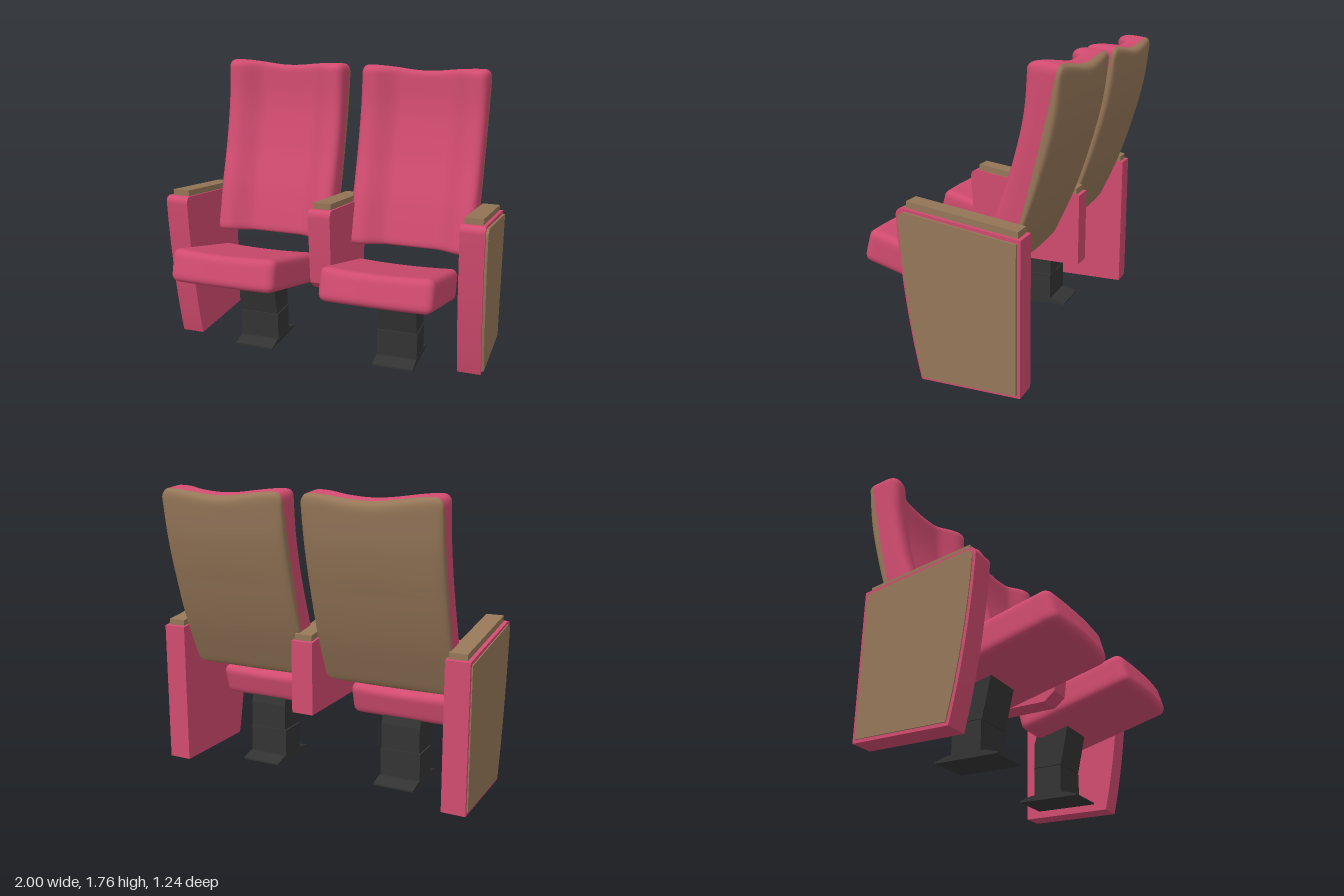
import * as THREE from 'three';
import { mergeVertices } from 'three/addons/utils/BufferGeometryUtils.js';

const paint = (name, color) => {
  const m = new THREE.MeshStandardMaterial({ color });
  m.name = name;
  return m;
};

export function createModel() {
  const fabric = paint('pink fabric', 0xd04b6f);
  const wood = paint('brown wood', 0x957658);
  const metal = paint('dark metal', 0x333333);
  const model = new THREE.Group();

  const add = (parent, name, geometry, material) => {
    const mesh = new THREE.Mesh(geometry, material);
    mesh.name = name;
    parent.add(mesh);
    return mesh;
  };

  // Finely divided box with rounded edges; every vertex then passes through bend()
  const softSlab = (w, h, d, r, segs, bend, splitAtMiddle = false) => {
    let g = new THREE.BoxGeometry(w, h, d, ...segs);
    g.deleteAttribute('normal');
    g.deleteAttribute('uv');
    g.clearGroups();
    g = mergeVertices(g);
    const pos = g.attributes.position;
    const half = new THREE.Vector3(w / 2 - r, h / 2 - r, d / 2 - r);
    const p = new THREE.Vector3(), core = new THREE.Vector3(), depth = [];
    for (let i = 0; i < pos.count; i++) {
      p.fromBufferAttribute(pos, i);
      core.copy(p).clamp(half.clone().negate(), half);
      p.sub(core).setLength(r).add(core);
      depth.push(p.z);
      bend(p);
      pos.setXYZ(i, p.x, p.y, p.z);
    }
    // rear faces go in material group 0, front faces in group 1
    if (splitAtMiddle) {
      const rear = [], front = [], ix = g.index.array;
      for (let i = 0; i < ix.length; i += 3) {
        const tri = [ix[i], ix[i + 1], ix[i + 2]];
        const z = tri.reduce((s, k) => s + depth[k], 0);
        (z < -1e-4 ? rear : front).push(...tri);
      }
      g.setIndex([...rear, ...front]);
      g.addGroup(0, rear.length, 0);
      g.addGroup(rear.length, front.length, 1);
    }
    g.computeVertexNormals();
    return g;
  };

  // Side profile in (z, y), extruded between two x positions
  const sideExtrude = (shape, x0, x1) =>
    new THREE.ExtrudeGeometry(shape, { depth: x1 - x0, bevelEnabled: false, curveSegments: 16 })
      .rotateY(-Math.PI / 2).translate(x1, 0, 0);
  const polygon = (pts) => new THREE.Shape(pts.map(([z, y]) => new THREE.Vector2(z, y)));

  // Backrest depth at equal height steps: cushion front, colour border, shell back
  const rows = [
    [-0.15, -0.29, -0.32], [-0.228, -0.385, -0.443], [-0.325, -0.46, -0.535],
    [-0.393, -0.525, -0.6], [-0.415, -0.585, -0.632],
  ];
  const section = new THREE.CatmullRomCurve3(rows.map((r) => new THREE.Vector3(...r)), false, 'catmullrom');
  const bendBack = (p) => {
    const v = p.y / 1.115 + 0.5, a = Math.abs(p.x);
    const s = section.getPoint(THREE.MathUtils.clamp(v, 0, 1));
    const t = p.z / 0.1;
    const hollow = 0.08 * (1 - THREE.MathUtils.smoothstep(a, 0.15, 0.33));
    const front = s.x - hollow;
    const rear = s.z + 0.025 * (p.x / 0.4) ** 2;
    p.z = t > 0 ? THREE.MathUtils.lerp(s.y, front, t) : THREE.MathUtils.lerp(s.y, rear, -t);
    const dip = 0.015 * (1 + Math.cos(Math.PI * Math.min(1, a / 0.36)));
    p.y = 0.65 + v * 1.115 - Math.max(0, v - 0.5) * 2 * (dip + 0.022 * (1 - t));
  };
  const backGeometry = softSlab(0.8, 1.115, 0.2, 0.045, [44, 56, 12], bendBack, true);

  // Seat cushion: front edge bows forward a little, top sags in the middle
  const cushionGeometry = softSlab(0.655, 0.2, 0.745, 0.045, [36, 12, 40], (p) => {
    const c = 1 - (p.x / 0.3275) ** 2;
    if (p.z > 0) p.z += (0.02 * c - 0.01) * p.z / 0.37;
    if (p.y > 0) p.y -= 0.012 * c * p.y / 0.1;
  });

  // Pedestal pieces
  const bracket = polygon([[-0.12, 0.205], [0.06, 0.205], [0.115, 0.46], [-0.1, 0.42], [-0.12, 0.36]]);
  const foot = polygon([[-0.22, 0], [0.16, 0], [0.16, 0.01], [0.08, 0.032], [-0.14, 0.032], [-0.22, 0.01]]);

  for (const [side, x] of [['right', -0.47], ['left', 0.45]]) {
    const chair = new THREE.Group();
    chair.name = side + 'Chair';
    chair.position.x = x;
    model.add(chair);
    add(chair, 'backrest', backGeometry, [wood, fabric]);
    const seat = add(chair, 'seatCushion', cushionGeometry, fabric);
    seat.position.set(0, 0.578, 0.23);
    seat.rotation.x = -0.262;
    add(chair, 'seatBracket', sideExtrude(bracket, -0.12, 0.125), metal);
    add(chair, 'pedestalColumn', new THREE.BoxGeometry(0.255, 0.18, 0.18).translate(0.002, 0.11, -0.03), metal);
    add(chair, 'pedestalFoot', sideExtrude(foot, -0.125, 0.13), metal);
  }

  // End panel outline; inset shrinks it for the wooden face
  const panelShape = (i) => {
    const s = new THREE.Shape();
    s.moveTo(-0.45 + i, 0.03 + i);
    s.lineTo(0.125 - i * 0.8, 0.03 + i);
    s.bezierCurveTo(0.19 - i, 0.3, 0.235 - i, 0.62, 0.252 - i, 0.945 - i);
    s.quadraticCurveTo(0.25 - i, 0.985 - i, 0.21 - i, 0.983 - i);
    s.lineTo(-0.45 + i, 0.89 - i);
    s.closePath();
    return s;
  };
  // Short hanging panel between the chairs
  const middle = new THREE.Shape();
  middle.moveTo(-0.45, 0.46);
  middle.lineTo(0.15, 0.465);
  middle.lineTo(0.217, 0.52);
  middle.quadraticCurveTo(0.242, 0.72, 0.252, 0.945);
  middle.quadraticCurveTo(0.25, 0.985, 0.21, 0.983);
  middle.lineTo(-0.45, 0.89);
  middle.closePath();
  const arm = polygon([[-0.43, 0.89], [0.2, 0.978], [0.2, 1.018], [-0.43, 0.928]]);

  add(model, 'rightEndPanel', sideExtrude(panelShape(0), -0.993, -0.852), fabric);
  add(model, 'rightPanelFace', sideExtrude(panelShape(0.018), -1, -0.993), wood);
  add(model, 'leftEndPanel', sideExtrude(panelShape(0), 0.843, 0.985), fabric);
  add(model, 'leftPanelFace', sideExtrude(panelShape(0.018), 0.985, 1), wood);
  add(model, 'middlePanel', sideExtrude(middle, -0.055, 0.08), fabric);
  add(model, 'rightArmrest', sideExtrude(arm, -0.97, -0.865), wood);
  add(model, 'middleArmrest', sideExtrude(arm, -0.04, 0.068), wood);
  add(model, 'leftArmrest', sideExtrude(arm, 0.858, 0.965), wood);

  return model;
}
